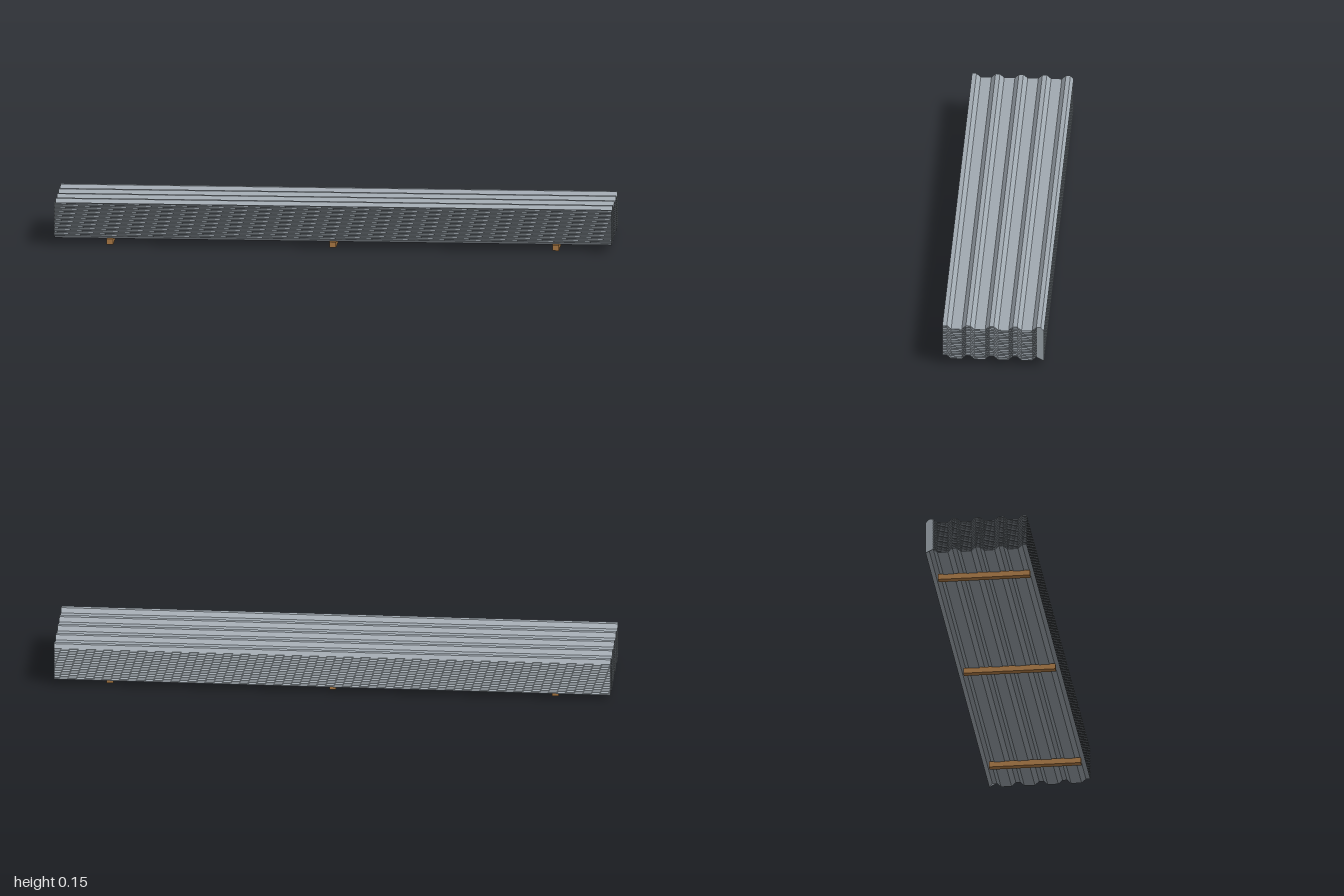
import * as THREE from 'three';

const SHEETS = 25, TOP = 0.151, PITCH = 0.0049, THICK = 0.0011;
const RISE = 0.014, PERIOD = 0.0842, LENGTH = 2;

// extrude a (z, y) outline along x, centred on x
function extrudeAlongX(shape, length, x = 0) {
  const g = new THREE.ExtrudeGeometry(shape, { depth: length, bevelEnabled: false });
  g.translate(0, 0, -length / 2);
  g.rotateY(-Math.PI / 2); // shape x -> +z, depth -> -x
  g.translate(x, 0, 0);
  return g;
}

// trapezoidal rib profile from the front edge to the back lip
function sheetProfile() {
  const pts = [];
  for (let i = 0; i < 4; i++) {
    const z = 0.183 - i * PERIOD;
    pts.push([z, 0], [z - 0.016, 0], [z - 0.0315, -RISE], [z - 0.0695, -RISE]);
  }
  pts.push([-0.154, 0], [-0.17, 0], [-0.1815, -RISE]);
  return pts;
}

export function createModel() {
  const steel = new THREE.MeshStandardMaterial({ color: 0xa1aab2 });
  steel.name = 'galvanised steel';
  const wood = new THREE.MeshStandardMaterial({ color: 0xb9834a });
  wood.name = 'wood';
  const model = new THREE.Group();
  model.name = 'sheetStack';

  // corrugated sheets
  const top = sheetProfile();
  const under = top.map(([z, y]) => [z, y - THICK]).reverse();
  const outline = new THREE.Shape([...top, ...under].map(p => new THREE.Vector2(...p)));
  const sheetGeometry = extrudeAlongX(outline, LENGTH);
  const stack = new THREE.Group();
  stack.name = 'corrugatedSheets';
  for (let i = 0; i < SHEETS; i++) {
    const sheet = new THREE.Mesh(sheetGeometry, steel);
    sheet.name = 'sheet' + (i + 1);
    sheet.position.y = TOP - i * PITCH;
    stack.add(sheet);
  }
  model.add(stack);

  // closed ends of the overlapping back lip
  const low = TOP - (SHEETS - 1) * PITCH;
  const cap = new THREE.Shape([
    [-0.154, TOP], [-0.154, low - THICK], [-0.181, low - RISE - THICK],
    [-0.181, TOP - RISE], [-0.17, TOP],
  ].map(p => new THREE.Vector2(...p)));
  for (const side of [-1, 1]) {
    const mesh = new THREE.Mesh(extrudeAlongX(cap, 0.002, side * 0.999), steel);
    mesh.name = side > 0 ? 'leftLipEnd' : 'rightLipEnd';
    model.add(mesh);
  }

  // timber bearers underneath
  const bearerGeometry = new THREE.BoxGeometry(0.024, 0.0205, 0.332);
  for (const x of [-0.8, 0, 0.8]) {
    const bearer = new THREE.Mesh(bearerGeometry, wood);
    bearer.name = 'bearer';
    bearer.position.set(x, 0.01025, 0.007);
    model.add(bearer);
  }
  return model;
}
